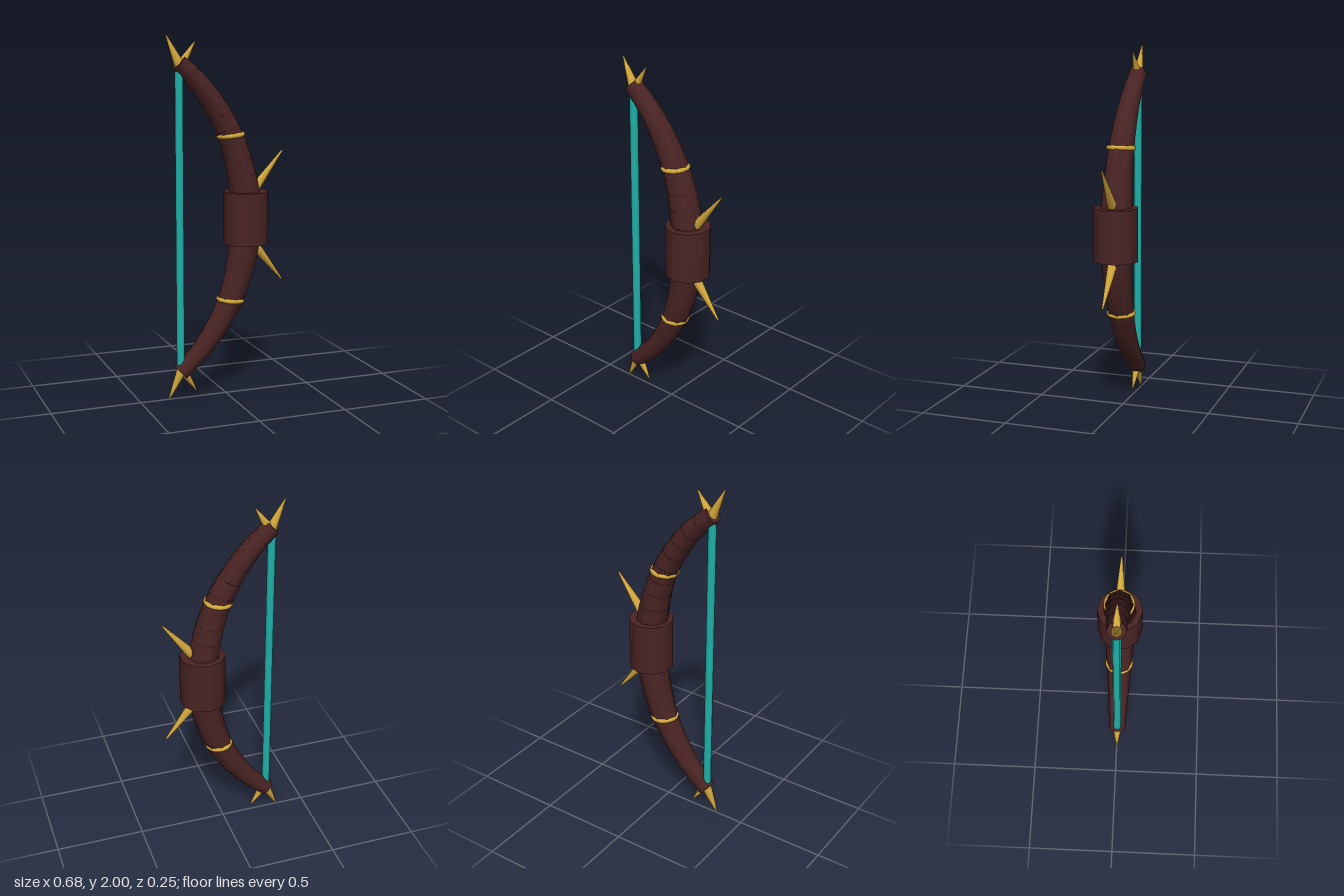
import * as THREE from 'three';

const material = (name, color) => {
  const m = new THREE.MeshStandardMaterial({ color });
  m.name = name;
  return m;
};

export function createModel() {
  const model = new THREE.Group();
  model.name = 'bow';
  const wood = material('dark wood', 0x4a2424);
  const gold = material('gold', 0xd4a83c);
  const teal = material('teal string', 0x20b2aa);
  const up = new THREE.Vector3(0, 1, 0);
  const middle = 1.0;

  // Tapered cylinder running from point a to point b
  function rod(name, a, b, rA, rB, sides, mat, parent = model) {
    const dir = b.clone().sub(a);
    const mesh = new THREE.Mesh(new THREE.CylinderGeometry(rB, rA, dir.length(), sides), mat);
    mesh.name = name;
    mesh.position.copy(a).add(b).multiplyScalar(0.5);
    mesh.quaternion.setFromUnitVectors(up, dir.normalize());
    parent.add(mesh);
    return mesh;
  }

  // Grip and string
  const at = (x, y) => new THREE.Vector3(x, middle + y, 0);
  rod('grip', at(0.118, -0.146), at(0.118, 0.146), 0.126, 0.126, 10, wood);
  rod('string', at(-0.267, -0.84), at(-0.267, 0.84), 0.023, 0.023, 8, teal);

  // Upper and lower halves mirror each other
  for (const side of [1, -1]) {
    const half = new THREE.Group();
    half.name = side > 0 ? 'upperLimb' : 'lowerLimb';
    model.add(half);
    const p = (x, y) => at(x, y * side);

    // Curved limb of overlapping tapered segments
    const curve = new THREE.CatmullRomCurve3([
      p(0.115, 0.06), p(0.103, 0.19), p(0.035, 0.44), p(-0.068, 0.63), p(-0.16, 0.75), p(-0.268, 0.853),
    ]);
    const count = 10;
    const radius = (t) => 0.094 - 0.045 * t;
    for (let i = 0; i < count; i++) {
      const t0 = i / count, t1 = (i + 1) / count;
      const a = curve.getPointAt(t0), b = curve.getPointAt(t1);
      const overlap = b.clone().sub(a).multiplyScalar(i ? 0.12 : 0);
      rod('limbSegment', a.sub(overlap), b, radius(t0), radius(t1) + 0.001, 8, wood, half);
    }

    // Gold band around the limb
    const band = new THREE.Mesh(new THREE.TorusGeometry(0.066, 0.014, 8, 20), gold);
    band.name = 'band';
    band.position.copy(p(0.027, 0.46));
    band.rotation.set(Math.PI / 2, side * 0.09, 0);
    band.scale.y = 1.03;
    half.add(band);

    // Spikes beside the grip and at the limb tip
    rod('gripSpike', p(0.165, 0.15), p(0.335, 0.365), 0.03, 0.005, 8, gold, half);
    rod('outerTipSpike', p(-0.262, 0.84), p(-0.337, 0.998), 0.03, 0.004, 8, gold, half);
    rod('innerTipSpike', p(-0.262, 0.83), p(-0.177, 0.963), 0.03, 0.004, 8, gold, half);
  }
  return model;
}
